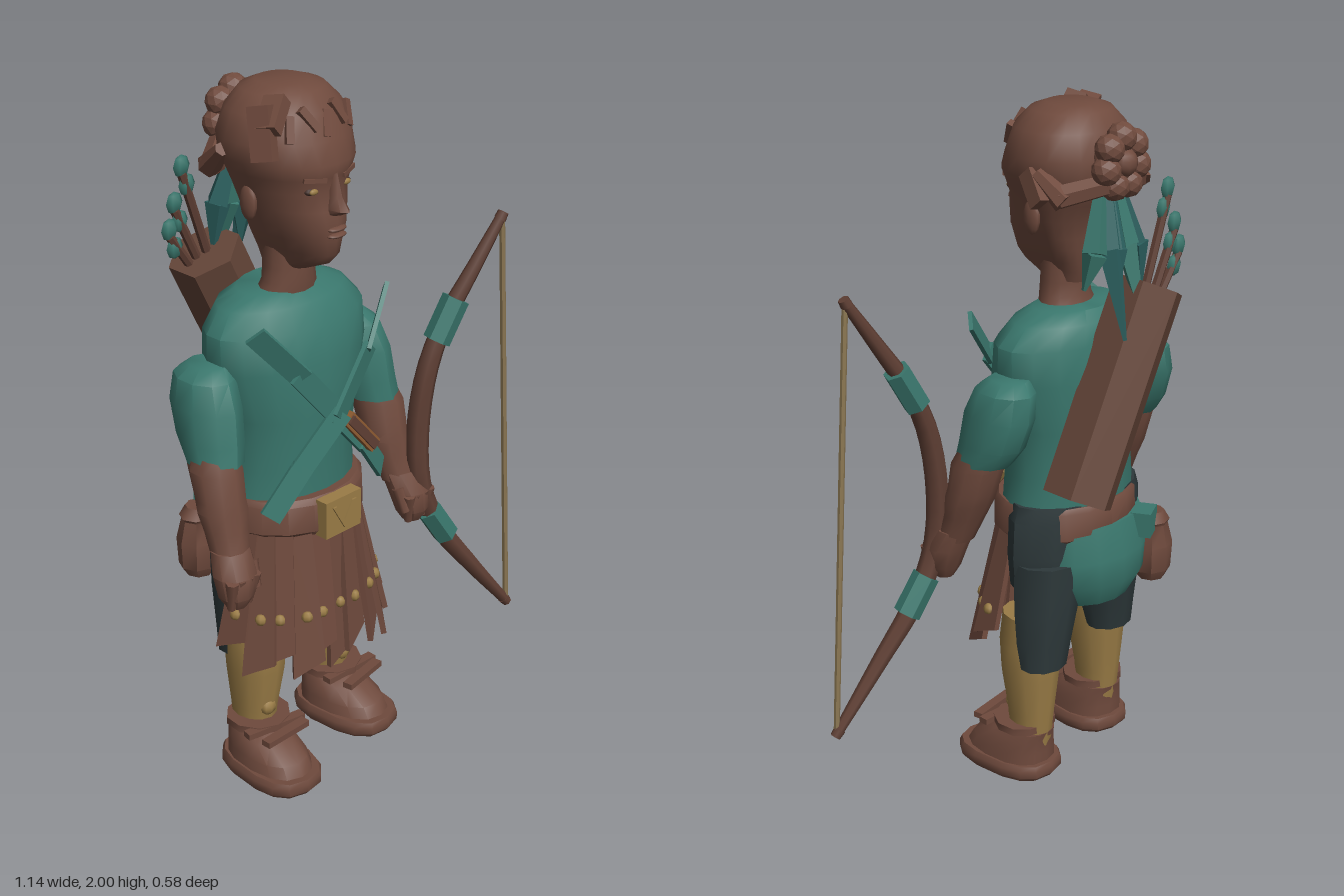
import * as THREE from 'three';
import { toCreasedNormals } from 'three/addons/utils/BufferGeometryUtils.js';

const mat = (name, color) => Object.assign(new THREE.MeshStandardMaterial({ color }), { name });
const V = (a) => new THREE.Vector3(...a);

export function createModel() {
  const root = new THREE.Group();
  const body = new THREE.Group();
  body.name = 'body';
  body.position.x = -0.165;
  root.add(body);

  const brown = mat('brown skin and leather', 0x6f4a3d);
  const leather = mat('quiver leather', 0x644538);
  const wood = mat('bow wood', 0x5f3f34);
  const teal = mat('teal cloth', 0x3a776d);
  const ribbonTeal = mat('dark teal ribbon', 0x2c6160);
  const dark = mat('dark trousers', 0x2d383a);
  const gold = mat('gold leggings', 0x9a7c46);
  const cord = mat('tan cord', 0x8a7652);
  const handle = mat('knife handle', 0x8f5c32);
  const shade = mat('dark brown', 0x44302a);

  const part = (geo, m, name, parent = body) => {
    const mesh = new THREE.Mesh(geo, m);
    mesh.name = name;
    parent.add(mesh);
    return mesh;
  };
  const flat = (g) => { const f = g.index ? g.toNonIndexed() : g; f.computeVertexNormals(); return f; };

  // Stack of oval sections, top to bottom: [y, centreX, centreZ, radiusX, frontZ, backZ]
  function loft(rows, m, name, parent = body, n = 14, power = 1, crease = 0.75) {
    const pos = [], idx = [];
    const bend = (v) => Math.sign(v) * Math.abs(v) ** power;
    rows.forEach(([y, x, z, rx, f, b = f]) => {
      for (let j = 0; j < n; j++) {
        const a = (j / n) * Math.PI * 2, c = bend(Math.cos(a));
        pos.push(x + rx * bend(Math.sin(a)), y, z + c * (c > 0 ? f : b));
      }
    });
    const top = rows.length * n, last = (rows.length - 1) * n;
    for (const [y, x, z] of [rows[0], rows[rows.length - 1]]) pos.push(x, y, z);
    for (let j = 0; j < n; j++) {
      const k = (j + 1) % n;
      for (let i = 0; i < last; i += n) idx.push(i + j, i + n + j, i + k, i + k, i + n + j, i + n + k);
      idx.push(top, j, k, top + 1, last + k, last + j);
    }
    const g = new THREE.BufferGeometry();
    g.setAttribute('position', new THREE.Float32BufferAttribute(pos, 3));
    g.setIndex(idx);
    return part(toCreasedNormals(g, crease), m, name, parent);
  }
  const along = (mesh, p, q) => {
    mesh.position.copy(p).add(q).multiplyScalar(0.5);
    mesh.quaternion.setFromUnitVectors(new THREE.Vector3(0, 1, 0), q.clone().sub(p).normalize());
    return mesh;
  };
  // Tapered rod from p (radius rp) to q (radius rq)
  function rod(p, q, rp, rq, m, name, parent = body, n = 6) {
    p = V(p); q = V(q);
    const g = new THREE.CylinderGeometry(rq, rp, p.distanceTo(q), n);
    return along(part(n < 7 ? flat(g) : g, m, name, parent), p, q);
  }
  const box = (size, at, rot, m, name, parent = body) => {
    const b = part(new THREE.BoxGeometry(...size), m, name, parent);
    b.position.set(...at);
    b.rotation.set(...rot);
    return b;
  };
  const ball = (r, at, scale, m, name, parent = body, w = 10, h = 7) => {
    const b = part(new THREE.SphereGeometry(r, w, h), m, name, parent);
    b.position.set(...at);
    b.scale.set(...scale);
    return b;
  };

  // Torso and neck
  loft([[1.44, 0, -0.01, 0.14, 0.08, 0.1], [1.41, 0, -0.01, 0.21, 0.12, 0.13], [1.35, 0, 0, 0.262, 0.15, 0.155],
    [1.25, 0, 0, 0.262, 0.17, 0.165], [1.1, 0, 0, 0.215, 0.175, 0.16], [0.95, 0, 0, 0.207, 0.165, 0.155],
    [0.85, 0, 0, 0.218, 0.165, 0.155]], teal, 'tunic', body, 18);
  loft([[1.6, 0, 0.02, 0.07, 0.065], [1.5, 0, 0.02, 0.075, 0.065], [1.46, 0, 0.02, 0.08, 0.065], [1.42, 0, 0.01, 0.095, 0.07]], brown, 'neck');

  // Head with face depth in the front radii
  loft([[2.0, 0, 0, 0.07, 0.07, 0.07], [1.985, 0, 0, 0.115, 0.11, 0.105], [1.94, 0, 0, 0.16, 0.15, 0.135], [1.87, 0, 0, 0.182, 0.175, 0.158],
    [1.815, 0, 0, 0.175, 0.203, 0.155], [1.78, 0, 0, 0.158, 0.197, 0.145], [1.74, 0, 0, 0.143, 0.188, 0.125], [1.69, 0, 0, 0.128, 0.198, 0.1],
    [1.64, 0, 0, 0.108, 0.207, 0.09], [1.605, 0, 0, 0.095, 0.2, 0.085], [1.565, 0, 0, 0.074, 0.196, 0.08], [1.535, 0, 0, 0.058, 0.17, 0.075],
    [1.505, 0, 0, 0.05, 0.1, 0.065]], brown, 'head', body, 22, 0.95, 1);
  loft([[1.79, 0, 0.18, 0.012, 0.022], [1.73, 0, 0.19, 0.014, 0.03], [1.695, 0, 0.19, 0.024, 0.055], [1.68, 0, 0.185, 0.022, 0.03]], brown, 'nose', body, 8);
  for (const y of [1.641, 1.623]) ball(0.03, [0, y, 0.2], [1.1, 0.25, 0.6], brown, 'lip');
  for (const s of [-1, 1]) {
    ball(0.02, [s * 0.059, 1.748, 0.166], [1.15, 0.55, 0.6], shade, 'eyelid');
    ball(0.014, [s * 0.059, 1.748, 0.176], [1.1, 0.6, 0.5], gold, 'eye');
    box([0.065, 0.012, 0.012], [s * 0.06, 1.78, 0.18], [0, s * 0.35, s * 0.12], brown, 'eyebrow');
    ball(0.045, [s * 0.138, 1.7, 0.015], [0.35, 1.1, 0.65], brown, 'ear');
    // Swept locks running back to the bun
    rod([s * 0.175, 1.84, -0.04], [s * 0.15, 1.77, -0.12], 0.02, 0.034, brown, 'sideLock');
    rod([s * 0.155, 1.78, -0.1], [s * 0.05, 1.81, -0.18], 0.034, 0.03, brown, 'backLock');
  }
  box([0.03, 0.1, 0.05], [0.185, 1.8, -0.04], [0.7, 0, 0.2], brown, 'looseLock');

  // Fringe tufts and larger side tufts
  for (let i = 0; i < 5; i++) {
    const x = -0.1 + i * 0.052;
    box([0.022, 0.07, 0.024], [x, 1.91 + (i % 2) * 0.02, 0.15 - x * x * 2.2], [-0.4, x * 3, i % 2 ? 0.5 : -0.3], brown, 'fringeTuft');
  }
  box([0.04, 0.14, 0.06], [-0.165, 1.91, 0.1], [-0.2, 0.4, -0.15], brown, 'hairTuft');
  box([0.04, 0.1, 0.06], [-0.13, 1.95, 0.1], [-0.2, 0.3, -0.8], brown, 'hairTuft');

  // Bun of round coils
  ball(0.075, [0, 1.865, -0.165], [1, 1.1, 0.7], brown, 'bun');
  for (let i = 0; i < 7; i++) {
    const a = (i / 7) * Math.PI * 2;
    const c = part(flat(new THREE.IcosahedronGeometry(0.042, 1)), brown, 'bunCoil');
    c.position.set(Math.sin(a) * 0.06, 1.865 + Math.cos(a) * 0.068, -0.185);
  }
  ball(0.038, [0, 1.865, -0.2], [1, 1, 0.8], brown, 'bunCoil');

  // Hair ribbons
  [[-0.08, 1.5, -0.19], [-0.03, 1.42, -0.25], [0.05, 1.39, -0.255], [0.125, 1.53, -0.17], [0.02, 1.5, -0.19]].forEach(([x, y, z], i) => {
    const mid = [x * 0.8, 1.63, -0.185], m = i % 2 ? teal : ribbonTeal;
    rod([x * 0.4, 1.78, -0.155], mid, 0.018, 0.036, m, 'ribbon', body, 4);
    rod(mid, [x, y, z], 0.036, 0.006, m, 'ribbonTail', body, 4);
  });

  // Arms
  for (const s of [-1, 1]) {
    const side = s > 0 ? 'left' : 'right';
    const arm = (rows) => rows.map(([y, x, ...r]) => [y, s * x, ...r]);
    loft(arm([[1.275, 0.26, -0.02, 0.05, 0.06], [1.245, 0.275, -0.02, 0.073, 0.095], [1.17, 0.285, -0.01, 0.08, 0.12, 0.11],
      [1.08, 0.292, 0.012, 0.08, 0.11, 0.1], [1.025, 0.3, 0.038, 0.075, 0.092, 0.085]]), teal, side + 'Sleeve', body, 10);
    loft(arm([[1.06, 0.305, 0.04, 0.06, 0.07], [1.01, 0.312, 0.055, 0.072, 0.08], [0.93, 0.315, 0.075, 0.07, 0.072],
      [0.9, 0.317, 0.085, 0.073, 0.07], [0.85, 0.32, 0.1, 0.064, 0.06], [0.77, 0.33, 0.13, 0.054, 0.054]]), brown, side + 'Forearm', body, 10);
    loft(arm([[0.8, 0.33, 0.125, 0.058, 0.052], [0.74, 0.342, 0.155, 0.064, 0.06], [0.68, 0.347, 0.165, 0.052, 0.05],
      [0.645, 0.347, 0.165, 0.028, 0.03]]), brown, side + 'Hand', body, 10);
    for (let i = 0; i < 4; i++)
      rod([s * (0.305 + i * 0.027), 0.74, 0.195], [s * (0.318 + i * 0.02), 0.65, 0.18], 0.019, 0.012, brown, side + 'Finger', body, 7);
    rod([s * 0.29, 0.76, 0.165], [s * 0.295, 0.69, 0.19], 0.02, 0.014, brown, side + 'Thumb', body, 7);
  }

  // Crossed chest straps
  for (const s of [-1, 1]) {
    const pts = [[s * 0.24, 1.39, 0.15], [s * 0.13, 1.26, 0.195], [0, 1.11, 0.208 + s * 0.006], [-s * 0.12, 0.98, 0.188], [-s * 0.21, 0.865, 0.165]];
    for (let i = 0; i < 4; i++) {
      const p = V(pts[i]), q = V(pts[i + 1]);
      along(part(new THREE.BoxGeometry(0.062, p.distanceTo(q) + 0.02, 0.012), teal, 'chestStrap'), p, q);
    }
  }
  // Knife on the strap: rimmed sheath with a darker face
  box([0.042, 0.16, 0.02], [0.085, 1.03, 0.21], [0, 0, 0.72], handle, 'knifeRim');
  box([0.026, 0.15, 0.034], [0.085, 1.03, 0.21], [0, 0, 0.72], wood, 'knifeFace');

  // Belt and buckle
  loft([[0.87, 0, 0.01, 0.215, 0.18, 0.17], [0.855, 0, 0.01, 0.225, 0.195, 0.18], [0.775, 0, 0.01, 0.225, 0.2, 0.185],
    [0.755, 0, 0.01, 0.2, 0.185, 0.17]], brown, 'belt', body, 18);
  box([0.135, 0.11, 0.04], [0, 0.813, 0.21], [0, 0, 0], gold, 'buckle');
  const tri = new THREE.Shape([[-0.045, 0.035], [0, -0.04], [0.045, 0.035], [0.03, 0.035], [0, -0.018], [-0.03, 0.035]].map((p) => new THREE.Vector2(...p)));
  part(new THREE.ExtrudeGeometry(tri, { depth: 0.005, bevelEnabled: false }), gold, 'buckleInlay').position.set(0, 0.813, 0.23);

  // Skirt of hanging leather strips with studs
  const lengths = [0.37, 0.43, 0.4, 0.44, 0.4, 0.45, 0.41, 0.42, 0.43, 0.4, 0.35];
  lengths.forEach((len, i) => {
    const a = (i - 5) * 0.28, out = Math.abs(Math.sin(a)), strip = new THREE.Group();
    strip.name = 'skirtStrip';
    const shape = new THREE.Shape([[-0.03, 0], [-0.05, -len], [-0.01, -len + 0.02], [0.045, -len + 0.045], [0.03, 0]].map((p) => new THREE.Vector2(...p)));
    part(new THREE.ExtrudeGeometry(shape, { depth: 0.016, bevelEnabled: false }), brown, 'skirtLeather', strip);
    ball(0.017, [0, -0.255, 0.018], [1, 1, 0.8], gold, 'skirtStud', strip, 7, 5);
    strip.position.set(Math.sin(a) * 0.185, 0.775, 0.03 + Math.cos(a) * 0.15);
    strip.rotation.set(-0.05 - out * 0.19, a, i % 2 ? 0.03 : -0.02, 'YXZ');
    body.add(strip);
  });

  // Trouser seat wider than the belt at the hips, and teal rear cloth
  loft([[0.875, 0, -0.02, 0.225, 0.11, 0.13], [0.83, 0, -0.02, 0.242, 0.11, 0.13], [0.72, 0, -0.02, 0.248, 0.11, 0.135], [0.62, 0, -0.02, 0.24, 0.1, 0.13],
    [0.55, 0, -0.02, 0.19, 0.08, 0.1]], dark, 'trouserSeat', body, 16);
  loft([[0.8, -0.02, -0.07, 0.18, 0.05, 0.11], [0.7, -0.02, -0.07, 0.2, 0.05, 0.135], [0.62, -0.02, -0.07, 0.185, 0.05, 0.135],
    [0.55, -0.02, -0.07, 0.13, 0.04, 0.1]], teal, 'rearCloth');

  // Hip pouch
  box([0.08, 0.075, 0.06], [-0.14, 0.765, -0.17], [0, 0.5, 0], teal, 'pouchFlap');
  loft([[0.775, -0.2, -0.15, 0.035, 0.035], [0.745, -0.2, -0.15, 0.055, 0.05], [0.735, -0.2, -0.15, 0.048, 0.045], [0.67, -0.2, -0.15, 0.064, 0.06],
    [0.59, -0.2, -0.15, 0.06, 0.055], [0.56, -0.2, -0.15, 0.04, 0.04]], brown, 'pouch', body, 8);

  // Legs and shoes
  for (const s of [-1, 1]) {
    const z = s < 0 ? 0.055 : 0;
    const leg = (rows) => rows.map(([y, x, cz, ...r]) => [y, s * x, cz + z * Math.min(1, (0.9 - y) * 2), ...r]);
    loft(leg([[0.7, 0.13, -0.04, 0.117, 0.08, 0.11], [0.55, 0.15, -0.045, 0.102, 0.07, 0.1], [0.45, 0.162, -0.05, 0.09, 0.055, 0.085],
      [0.37, 0.17, -0.06, 0.077, 0.045, 0.068]]), dark, 'trouserLeg', body, 10);
    loft(leg([[0.52, 0.165, -0.01, 0.078, 0.09], [0.42, 0.168, -0.01, 0.084, 0.1], [0.33, 0.17, -0.01, 0.08, 0.092],
      [0.2, 0.172, -0.015, 0.062, 0.075], [0.1, 0.172, -0.015, 0.056, 0.065]]), gold, 'legging', body, 12);
    const shoe = new THREE.Group();
    shoe.name = 'shoe';
    shoe.position.set(s * 0.18, 0, 0.06 + z);
    shoe.rotation.y = s * 0.08;
    body.add(shoe);
    loft([[0.048, 0, 0, 0.1, 0.165, 0.155], [0.035, 0, 0, 0.108, 0.17, 0.16], [0.012, 0, 0, 0.108, 0.17, 0.16], [0, 0, 0, 0.1, 0.16, 0.15]], brown, 'sole', shoe, 14, 0.75);
    loft([[0.145, 0, -0.075, 0.068, 0.08, 0.07], [0.12, 0, -0.055, 0.08, 0.11, 0.085], [0.08, 0, -0.03, 0.09, 0.155, 0.11],
      [0.04, 0, -0.02, 0.095, 0.17, 0.12]], brown, 'shoeUpper', shoe, 14, 0.85);
    // Ankle strap, crossing laces and knob
    loft([[0.172, 0, -0.06, 0.095, 0.1, 0.08], [0.15, 0, -0.06, 0.095, 0.1, 0.08]], brown, 'ankleStrap', shoe, 10);
    for (const k of [0, 1]) box([0.19 - k * 0.03, 0.018, 0.03], [0, 0.16, 0.02 + k * 0.05], [0, k ? 0.1 : -0.1, 0], brown, 'lace', shoe);
    ball(0.026, [0, 0.21, -0.008], [1, 1, 0.7], gold, 'ankleKnob', shoe, 8, 6);
  }

  // Quiver with arrows
  const quiver = new THREE.Group();
  quiver.name = 'quiver';
  root.add(quiver);
  rod([0.005, 0.935, -0.195], [-0.275, 1.5, -0.195], 0.105, 0.105, leather, 'quiverCase', quiver, 6);
  [[-0.35, 1.74, -0.19], [-0.37, 1.64, -0.2], [-0.39, 1.57, -0.2]].forEach((t, i) => {
    rod([-0.25 - i * 0.025, 1.44, t[2]], t, 0.013, 0.013, wood, 'arrowShaft', quiver);
    for (const k of [0, 0.055]) ball(0.029, [t[0] + k * 0.3, t[1] - k + 0.02, t[2]], [1, 1.1, 0.45], teal, 'arrowFletching', quiver, 6, 4);
  });

  // Bow with a tapered limb, cloth wraps and string
  const bow = new THREE.Group();
  bow.name = 'bow';
  root.add(bow);
  const curve = new THREE.CatmullRomCurve3([[0.46, 1.52, 0.232], [0.37, 1.38, 0.21], [0.285, 1.24, 0.185], [0.225, 1.1, 0.175], [0.197, 0.92, 0.17],
    [0.205, 0.75, 0.175], [0.27, 0.6, 0.182], [0.4, 0.42, 0.21], [0.55, 0.235, 0.232]].map(V));
  const tube = new THREE.TubeGeometry(curve, 28, 0.034, 7);
  const tp = tube.attributes.position, v = new THREE.Vector3();
  for (let i = 0; i < tp.count; i++) {
    const u = Math.floor(i / 8) / 28, c = curve.getPointAt(u);
    v.fromBufferAttribute(tp, i).sub(c).multiplyScalar(0.45 + 0.55 * Math.sin(Math.PI * u)).add(c);
    tp.setXYZ(i, v.x, v.y, v.z);
  }
  part(tube, wood, 'bowLimb', bow);
  for (const [p, q] of [[[0.455, 1.51, 0.23], [0.465, 1.53, 0.233]], [[0.54, 0.247, 0.23], [0.555, 0.228, 0.233]]])
    rod(p, q, 0.018, 0.016, wood, 'bowTip', bow, 7);
  rod([0.32, 1.3, 0.193], [0.257, 1.185, 0.18], 0.04, 0.04, teal, 'bowWrap', bow);
  rod([0.24, 0.655, 0.178], [0.308, 0.55, 0.19], 0.04, 0.04, teal, 'bowWrap', bow);
  rod([0.46, 1.5, 0.234], [0.548, 0.245, 0.234], 0.009, 0.009, cord, 'bowString', bow);

  return root;
}
